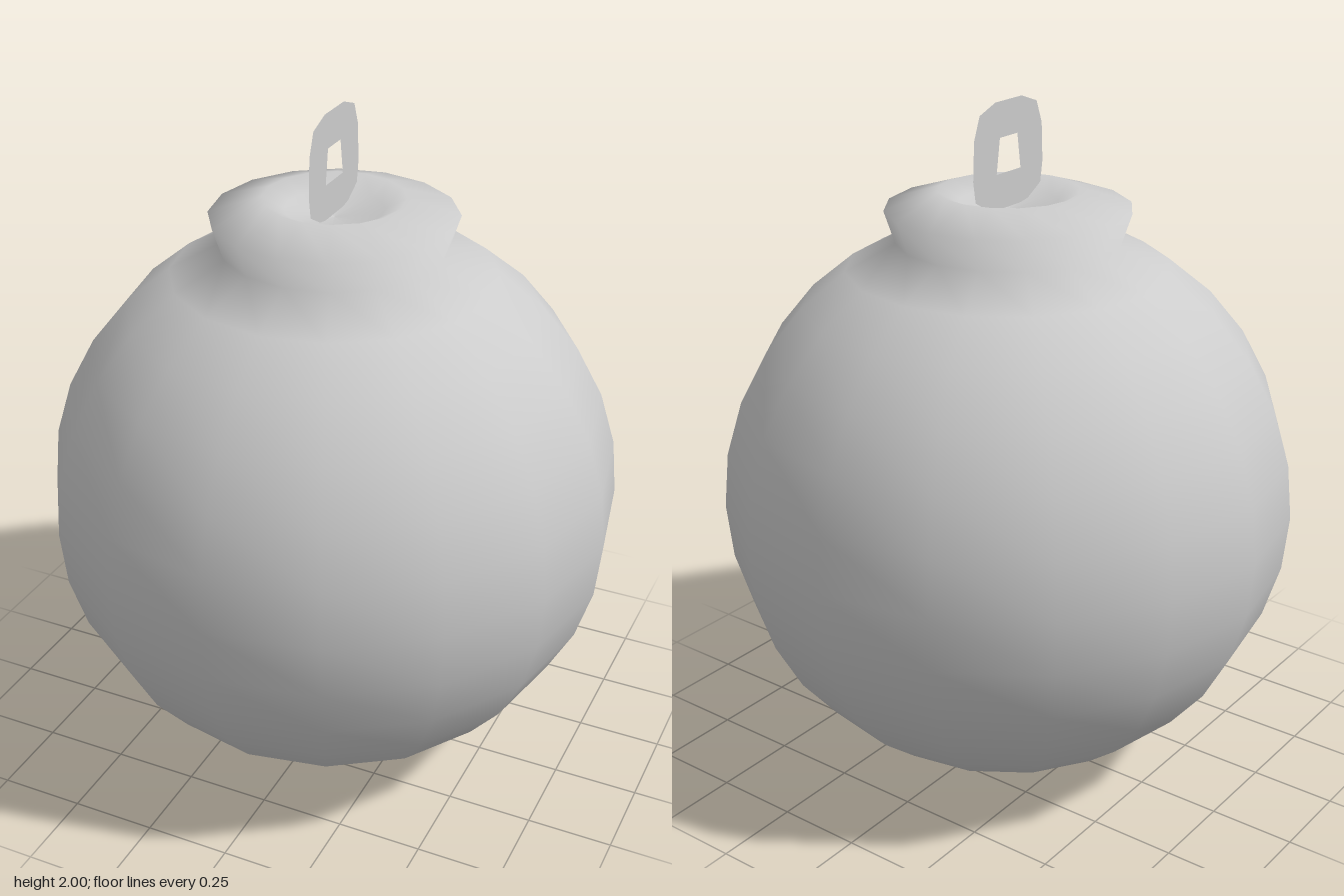
import * as THREE from 'three';

export function createModel() {
  const group = new THREE.Group();
  const grey = new THREE.MeshStandardMaterial({ color: 0xcccccc, side: THREE.DoubleSide });
  grey.name = 'lightGrey';

  // Ball, flared collar and shallow dish turned as one smooth surface
  const R = 0.835, rows = 16;
  const profile = [];
  for (let i = 0; i <= rows - 2; i++) {
    const a = (i / rows) * Math.PI;
    profile.push(new THREE.Vector2(R * Math.sin(a), R - R * Math.cos(a)));
  }
  for (const [r, y] of [[0.35, 1.7], [0.2, 1.748], [0.14, 1.715], [0, 1.69]]) {
    profile.push(new THREE.Vector2(r, y));
  }
  const bauble = new THREE.Mesh(new THREE.LatheGeometry(profile, 16), grey);
  bauble.name = 'ballAndCollar';
  group.add(bauble);

  // Flat hanging loop with a tapered hole, standing in the z-y plane
  const half = [[0.08, 1.7], [0.15, 1.74], [0.16, 1.8], [0.155, 1.91], [0.13, 1.975], [0.06, 2]];
  const points = [...half, ...half.map(([z, y]) => [-z, y]).reverse()];
  const toVectors = (list) => list.map(([z, y]) => new THREE.Vector2(z, y));
  const shape = new THREE.Shape(toVectors(points));
  shape.holes.push(new THREE.Path(toVectors([[-0.055, 1.8], [-0.04, 1.9], [0.04, 1.9], [0.055, 1.8]])));
  const loop = new THREE.Mesh(new THREE.ShapeGeometry(shape), grey);
  loop.name = 'hangingLoop';
  loop.rotation.y = Math.PI / 2;
  group.add(loop);

  return group;
}
